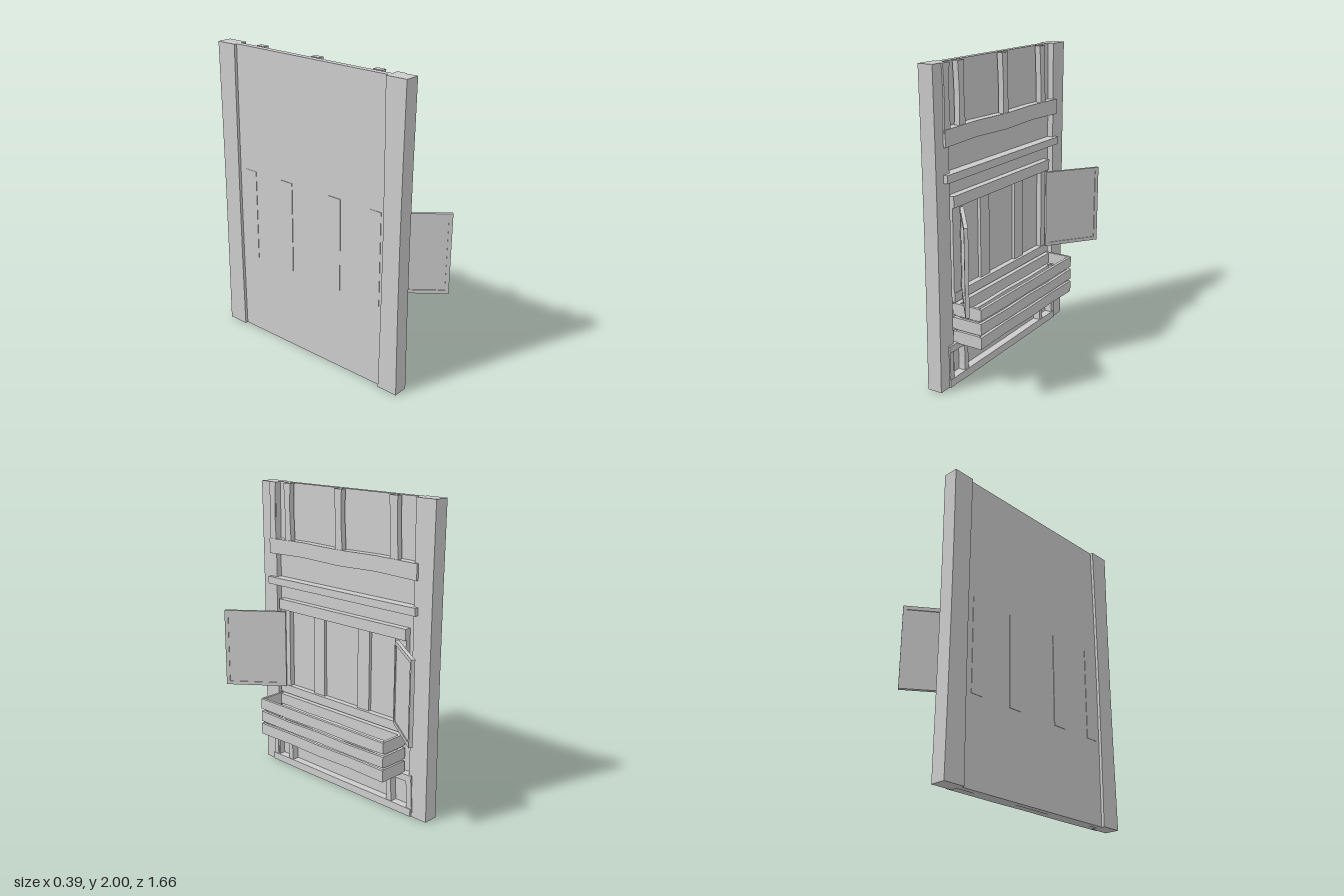
import * as THREE from 'three';

const material = new THREE.MeshStandardMaterial({ color: 0xcccccc, flatShading: true });

// Board spanning [x0,x1] [y0,y1] [z0,z1]; wobble gives the long edges a hand-hewn waver
function board(name, [x0, x1], [y0, y1], [z0, z1], wobble = 0, seed = 0) {
  const upright = y1 - y0 > z1 - z0;
  const segs = wobble ? 4 : 1;
  const g = new THREE.BoxGeometry(x1 - x0, y1 - y0, z1 - z0, 1, upright ? segs : 1, upright ? 1 : segs);
  g.translate((x0 + x1) / 2, (y0 + y1) / 2, (z0 + z1) / 2);
  const p = g.attributes.position;
  if (wobble) {
    for (let i = 0; i < p.count; i++) {
      const y = p.getY(i), z = p.getZ(i);
      if (upright) {
        const side = z > (z0 + z1) / 2 ? 1 : -1;
        const t = (y - y0) / (y1 - y0);
        p.setZ(i, z - side * wobble * Math.sin(Math.PI * t + seed * 0.3 * side));
      } else {
        const side = y > (y0 + y1) / 2 ? 1 : -1;
        const t = (z - z0) / (z1 - z0);
        p.setY(i, y - side * wobble * Math.sin(Math.PI * t * 2 + seed + side) ** 2);
      }
    }
  }
  g.computeVertexNormals();
  const mesh = new THREE.Mesh(g, material);
  mesh.name = name;
  return mesh;
}

// Hinged shutter: flat leaf with a raised border on both faces
function shutter(name, hinge, tip) {
  const group = new THREE.Group();
  group.name = name;
  const dx = tip[0] - hinge[0], dz = tip[1] - hinge[1];
  const w = Math.hypot(dx, dz), h = 0.535, b = 0.024, t = 0.012;
  const outer = new THREE.Shape();
  outer.moveTo(0, 0).lineTo(w, 0).lineTo(w, h).lineTo(0, h).closePath();
  const hole = new THREE.Path();
  hole.moveTo(b, b).lineTo(b, h - b).lineTo(w - b, h - b).lineTo(w - b, b).closePath();
  outer.holes.push(hole);
  const frameGeo = new THREE.ExtrudeGeometry(outer, { depth: 2 * t, bevelEnabled: false });
  frameGeo.translate(0, 0, -t);
  const frame = new THREE.Mesh(frameGeo, material);
  frame.name = 'shutterFrame';
  group.add(frame, board('shutterPanel', [b, w - b], [b, h - b], [-0.006, 0.006]));
  group.position.set(hinge[0], 0.6, hinge[1]);
  group.rotation.y = Math.atan2(-dz, dx);
  return group;
}

export function createModel() {
  const model = new THREE.Group();
  model.name = 'wallSection';
  const add = (...args) => model.add(board(...args));

  // Wall and corner posts
  add('wallPanel', [-0.18, -0.14], [0, 2], [-0.66, 0.63]);
  add('leftPost', [-0.2, -0.1], [0, 2], [0.582, 0.723], 0.009);
  add('rightPost', [-0.2, -0.1], [0, 2], [-0.755, -0.61], 0.006, 1);

  // Horizontal rails
  add('upperRail', [-0.14, -0.085], [1.52, 1.63], [-0.64, 0.64], 0.01, 1);
  add('ledgeRail', [-0.14, -0.073], [1.31, 1.36], [-0.645, 0.645]);
  add('lowerRail', [-0.14, -0.087], [0.23, 0.28], [-0.64, 0.64], 0.006, 2);
  add('baseRail', [-0.14, -0.087], [0, 0.056], [-0.64, 0.64], 0.004);

  // Short studs above and below
  [0.61, 0.465, 0, -0.455].forEach((z, i) =>
    add('upperStud', [-0.128, -0.09], [1.6, 2], [z - 0.032, z + 0.032], 0.009, i));
  [0.615, 0.462, -0.456, -0.622].forEach((z, i) =>
    add('lowerStud', [-0.14, -0.092], [0.03, 0.25], [z - 0.023, z + 0.023], 0.006, i));

  // Window surround and uprights, which just break through the back
  add('windowHead', [-0.14, -0.094], [1.14, 1.212], [-0.56, 0.56]);
  add('windowSill', [-0.14, -0.1], [0.54, 0.6], [-0.56, 0.56]);
  for (const s of [1, -1]) {
    add('windowMullion', [-0.184, -0.12], [0.56, 1.18], [s * 0.2 - 0.05, s * 0.2 + 0.05]);
    add('windowJamb', [-0.183, -0.105], [0.56, 1.18], [s * 0.515 - 0.045, s * 0.515 + 0.045]);
  }

  // Open shutters
  model.add(shutter('leftShutter', [-0.087, 0.492], [0.178, 0.822]));
  model.add(shutter('rightShutter', [-0.087, -0.5], [0.15, -0.822]));

  // Slatted flower box, open at the top
  const box = new THREE.Group();
  box.name = 'flowerBox';
  [[0.272, 0.354], [0.364, 0.441], [0.455, 0.535]].forEach((y, i) => {
    box.add(board('frontSlat', [0.07, 0.09], y, [-0.56, 0.56], 0.006, i + 1));
    box.add(board('backSlat', [-0.12, -0.08], y, [-0.56, 0.56], 0.006, i + 1));
    for (const s of [1, -1])
      box.add(board('endSlat', [-0.1, 0.075], y, [s * 0.551 - 0.009, s * 0.551 + 0.009]));
  });
  box.add(board('boxFloor', [-0.12, 0.08], [0.278, 0.295], [-0.55, 0.55]));
  model.add(box);

  return model;
}
